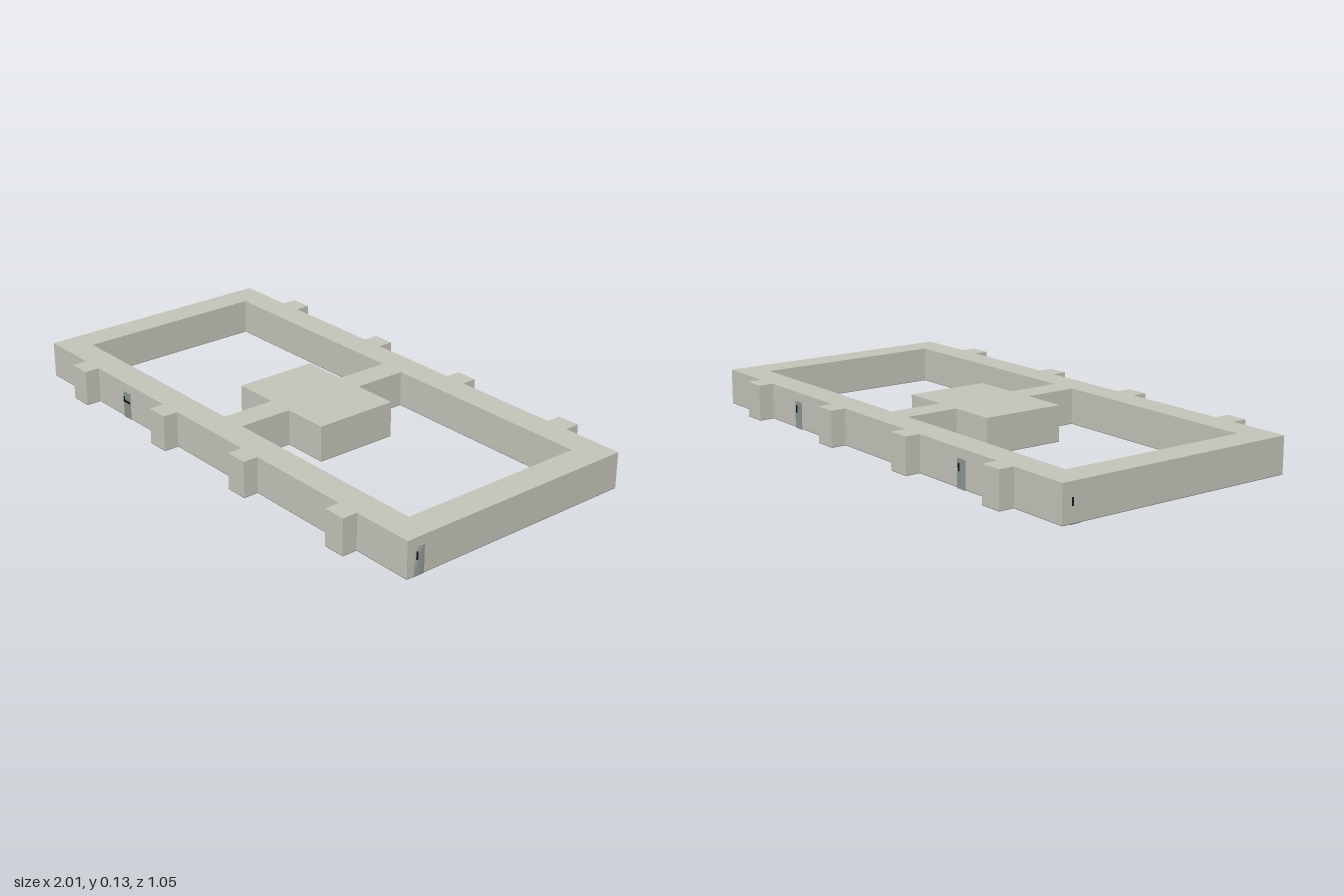
import * as THREE from 'three';

export function createModel() {
  const group = new THREE.Group();
  group.name = 'courtyardBuilding';
  const mat = (name, color) => {
    const m = new THREE.MeshStandardMaterial({ color });
    m.name = name;
    return m;
  };
  const stone = mat('stone', 0xc4c3b9);
  const floorGrey = mat('floorGrey', 0x7d8280);
  const doorGrey = mat('doorGrey', 0x8b9490);
  const black = mat('black', 0x151719);

  const W = 1, D = 0.47, H = 0.135, BASE = 0.004;

  const add = (parent, name, geometry, material, x, y, z) => {
    const mesh = new THREE.Mesh(geometry, material);
    mesh.name = name;
    mesh.position.set(x, y, z);
    parent.add(mesh);
    return mesh;
  };
  const box = (parent, name, material, w, h, d, x, y, z) =>
    add(parent, name, new THREE.BoxGeometry(w, h, d), material, x, y, z);

  // Plan outline: rectangle with four buttresses on each long side
  const buttresses = [[-0.77, -0.685], [-0.27, -0.185], [0.185, 0.27], [0.685, 0.77]];
  const edge = [[-W, -D]];
  for (const [a, b] of buttresses) edge.push([a, -D], [a, -0.527], [b, -0.527], [b, -D]);
  edge.push([W, -D]);
  const toPoints = (list) => list.map(([x, y]) => new THREE.Vector2(x, y));
  const plan = new THREE.Shape(toPoints([...edge, ...edge.map(([x, y]) => [-x, -y])]));

  // Two courtyards, notched around the central hall
  for (const s of [-1, 1]) {
    plan.holes.push(new THREE.Path(toPoints([
      [0.89, -0.365], [0.89, 0.365], [0.05, 0.365], [0.05, 0.16],
      [0.225, 0.16], [0.225, -0.16], [0.05, -0.16], [0.05, -0.365],
    ].map(([x, y]) => [s * x, y]))));
  }
  const slab = (depth) => new THREE.ExtrudeGeometry(plan, { depth, bevelEnabled: false }).rotateX(-Math.PI / 2);
  add(group, 'walls', slab(H - BASE), stone, 0, BASE, 0);
  add(group, 'floor', slab(BASE - 0.002), floorGrey, 0, 0.002, 0);

  // Doors, built facing +z and turned to their wall
  const door = (name, x, z, turn, wide) => {
    const g = new THREE.Group();
    g.name = name;
    box(g, 'doorLeaf', doorGrey, 0.042, 0.1, 0.004, 0, 0.05, 0);
    if (wide) {
      box(g, 'pushBar', black, 0.04, 0.008, 0.004, 0, 0.065, 0.003);
      box(g, 'doorLatch', black, 0.005, 0.014, 0.004, -0.014, 0.075, 0.003);
    } else {
      box(g, 'doorHandle', black, 0.006, 0.027, 0.004, -0.01, 0.072, 0.003);
    }
    g.position.set(x, 0, z);
    g.rotation.y = turn;
    group.add(g);
  };
  door('frontDoor', -0.5, D, 0, true);
  door('backDoorRight', -0.5, -D, Math.PI, false);
  door('backDoorLeft', 0.5, -D, Math.PI, false);
  door('leftEndDoor', W - 0.002, 0.42, Math.PI / 2, false);
  door('rightEndDoor', -W + 0.002, -0.42, -Math.PI / 2, false);

  // Vents and drains under the central hall
  for (const s of [-1, 1]) {
    box(group, 'floorVent', black, 0.03, 0.002, 0.09, s * 0.16, 0.0012, s * 0.072);
    box(group, 'drainPlate', doorGrey, 0.034, 0.0016, 0.034, s * 0.18, 0.0014, -s * 0.115);
    add(group, 'drainHole', new THREE.CylinderGeometry(0.008, 0.008, 0.002, 12), black,
      s * 0.18, 0.001, -s * 0.115);
  }
  return group;
}
